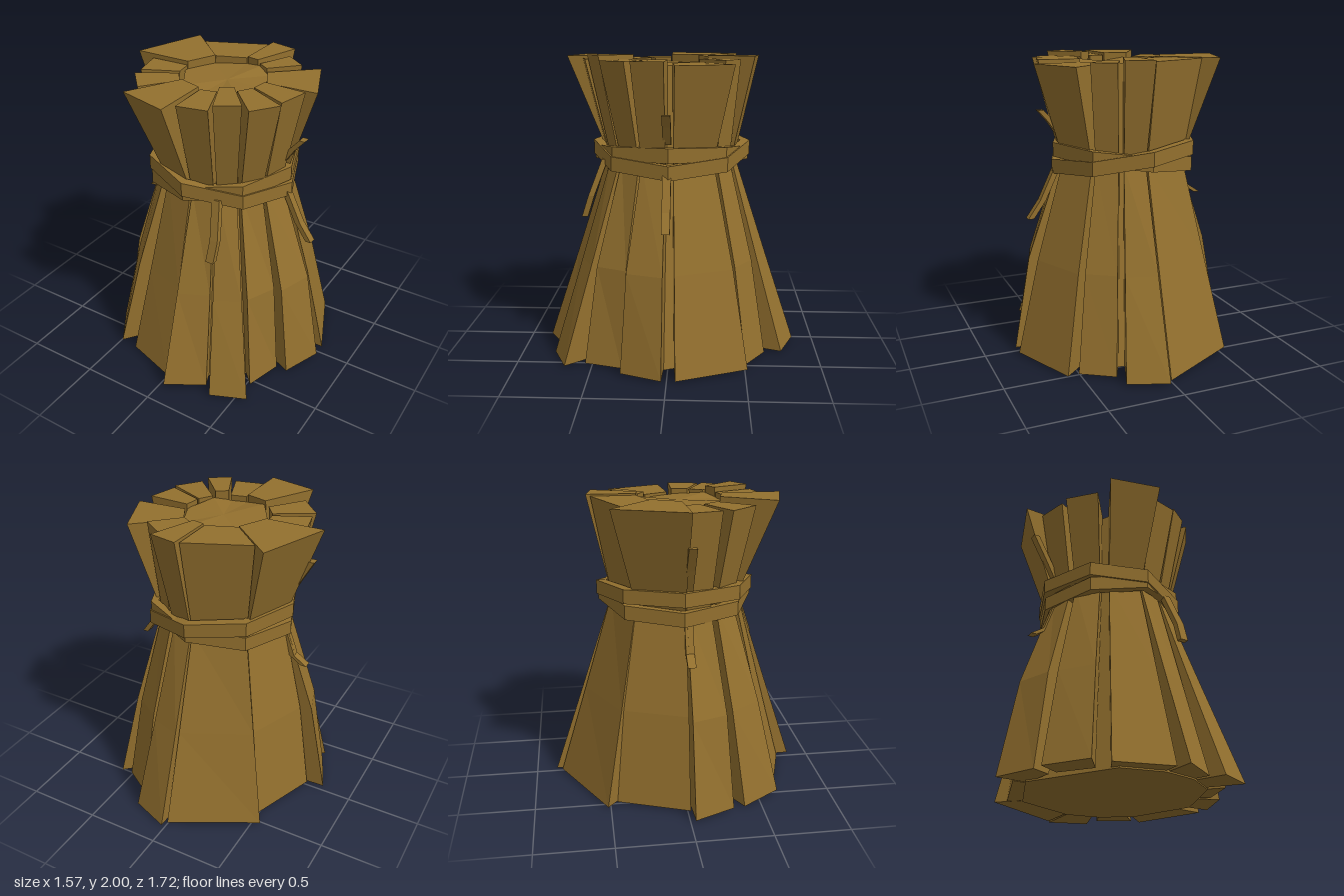
import * as THREE from 'three';

// Point at a clockwise angle from the back, seen from above
const polar = (deg, r, y) => {
  const a = THREE.MathUtils.degToRad(deg);
  return [r * Math.sin(a), y, -r * Math.cos(a)];
};

// Radius of the core's top, a little larger towards the front
const coreRadius = deg => 0.288 - 0.03 * Math.cos(THREE.MathUtils.degToRad(deg));

// Closed solid through rings of [x, y, z], bottom to top, each clockwise seen from above
function loft(rings) {
  const n = rings[0].length, idx = [];
  const pos = rings.flat(2);
  for (let k = 0; k < rings.length - 1; k++) {
    for (let j = 0; j < n; j++) {
      const a = k * n + j, b = k * n + (j + 1) % n;
      idx.push(a, a + n, b + n, a, b + n, b);
    }
  }
  // Caps fan out from the middle of the first and last ring
  [0, rings.length - 1].forEach((k, top) => {
    const c = pos.length / 3;
    for (let i = 0; i < 3; i++) pos.push(rings[k].reduce((s, p) => s + p[i], 0) / n);
    for (let j = 0; j < n; j++) {
      const a = k * n + j, b = k * n + (j + 1) % n;
      if (top) idx.push(c, b, a); else idx.push(c, a, b);
    }
  });
  const indexed = new THREE.BufferGeometry();
  indexed.setAttribute('position', new THREE.Float32BufferAttribute(pos, 3));
  indexed.setIndex(idx);
  const flat = indexed.toNonIndexed();
  flat.computeVertexNormals();
  return flat;
}

// Stalk bundles: start and end angle, foot radius at each, head radius, top height, bulge
const BUNDLES = [
  [-47, 0, 0.76, 0.82, 0.55, 1.98, 0],
  [1.5, 20.5, 0.86, 0.81, 0.58, 1.99, 0],
  [25, 45, 0.71, 0.72, 0.5, 1.97, 0.03],
  [48.5, 86, 0.78, 0.78, 0.62, 1.95, 0.02],
  [92.5, 114, 0.78, 0.74, 0.57, 1.97, 0.06],
  [116.5, 136, 0.67, 0.76, 0.6, 1.97, 0.05],
  [139.5, 156, 0.89, 0.85, 0.58, 2, 0],
  [158.5, 178, 0.76, 0.86, 0.59, 1.97, 0],
  [180, 209, 0.77, 0.75, 0.7, 1.985, 0],
  [217, 240, 0.81, 0.765, 0.58, 1.96, 0.02],
  [245.5, 267.5, 0.74, 0.79, 0.55, 1.96, 0.05],
  [268.5, 312.5, 0.67, 0.67, 0.67, 1.985, 0.03],
];

function bundleGeometry([start, end, foot0, foot1, head, top, bulge]) {
  const waist = 0.43, waistY = 1.32, midY = 0.65;
  const ring = (y, r0, r1, scale) => [
    polar(start, r0, y), polar(end, r1, y),
    polar(end, coreRadius(end) * scale, y), polar(start, coreRadius(start) * scale, y),
  ];
  const mid = foot => THREE.MathUtils.lerp(foot, waist, midY / waistY) + bulge;
  return loft([
    ring(0.01, foot0, foot1, 2),
    ring(midY, mid(foot0), mid(foot1), 1.55),
    ring(waistY, waist, waist, 1.1),
    ring(top, head, head, 0.99),
  ]);
}

export function createModel() {
  const model = new THREE.Group();
  model.name = 'strawSheaf';
  const straw = new THREE.MeshStandardMaterial({ color: 0x93702e });
  straw.name = 'straw';
  straw.flatShading = true;
  const add = (geometry, name, parent = model) => {
    const mesh = new THREE.Mesh(geometry, straw);
    mesh.name = name;
    parent.add(mesh);
  };

  // Inner core, wide at the foot, with a slightly uneven top
  const coreAngles = [0, 25, 50, 96, 138, 160, 180, 205, 264, 312];
  const coreRing = (y, scale, uneven) => coreAngles.map((deg, i) =>
    polar(deg, coreRadius(deg) * scale, y + uneven * Math.sin(i * 2)));
  add(loft([coreRing(0, 2.1, 0), coreRing(1.3, 1.18, 0), coreRing(1.94, 1.01, 0.015)]), 'core');

  // Ring of stalk bundles
  const bundles = new THREE.Group();
  bundles.name = 'stalkBundles';
  BUNDLES.forEach((b, i) => add(bundleGeometry(b), 'stalkBundle' + (i + 1), bundles));
  model.add(bundles);

  // Two crossing eight-sided bands around the waist
  const band = (name, y, tilt, lift, r) => {
    const profile = [[0.44, -0.047], [r, -0.047], [r, 0.047], [0.44, 0.047], [0.44, -0.047]]
      .map(p => new THREE.Vector2(...p));
    const g = new THREE.LatheGeometry(profile, 8);
    const p = g.attributes.position;
    for (let i = 0; i < p.count; i++) {
      const a = Math.atan2(p.getZ(i), p.getX(i));
      p.setY(i, p.getY(i) + y + tilt * Math.cos(a) + lift * Math.sin(a) ** 2);
      p.setZ(i, p.getZ(i) * 1.06);
    }
    g.computeVertexNormals();
    add(g, name);
  };
  band('bandUpper', 1.34, -0.065, 0.035, 0.5);
  band('bandLower', 1.33, 0.057, 0.01, 0.49);

  // Loose straws: paths from low to high, with half sizes in x and z
  const looseStraw = (name, path, w, d) => add(loft(path.map(([x, y, z]) =>
    [[x - w, y, z - d], [x + w, y, z - d], [x + w, y, z + d], [x - w, y, z + d]])), name);
  looseStraw('looseStrawFront', [[0.235, 0.94, 0.565], [0.24, 1.08, 0.52], [0.2, 1.32, 0.43]], 0.028, 0.02);

  // Side straws lie in the plane between two bundles, as [x, y] paths
  const sideStraw = (name, z, path) => looseStraw(name, path.map(([x, y]) => [x, y, z]), 0.02, 0.027);
  sideStraw('looseStrawLeft', 0.01, [[0.655, 0.93], [0.57, 1.05], [0.45, 1.3]]);
  sideStraw('looseStrawLeftUpper', 0.01, [[0.42, 1.45], [0.5, 1.57], [0.57, 1.65]]);
  sideStraw('looseStrawRight', 0.03, [[-0.59, 1], [-0.5, 1.06], [-0.42, 1.28]]);
  sideStraw('looseStrawRightUpper', 0.03, [[-0.43, 1.45], [-0.51, 1.6], [-0.6, 1.76]]);
  return model;
}
